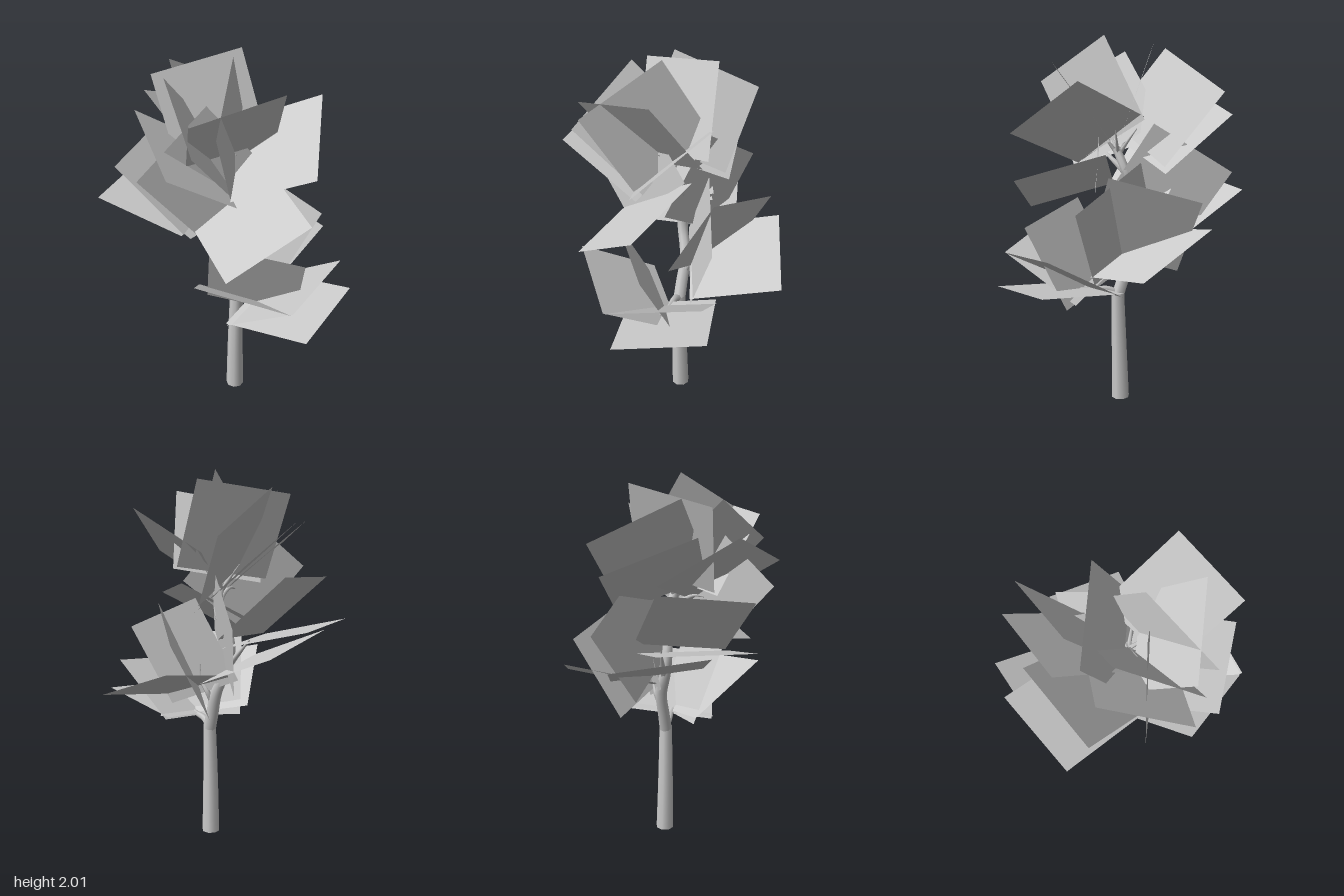
import * as THREE from 'three';

const LEAF = 0.487;
const bark = new THREE.MeshStandardMaterial({ color: 0xcccccc });
const foliage = new THREE.MeshStandardMaterial({ color: 0xcccccc, side: THREE.DoubleSide });
const v = (p) => new THREE.Vector3(...p);

// Round limb along a curve, narrowing from r0 to r1
function limb(name, points, r0, r1, sides = 8) {
  const steps = points.length * 4;
  const curve = new THREE.CatmullRomCurve3(points.map(v));
  const geo = new THREE.TubeGeometry(curve, steps, 1, sides);
  const pos = geo.attributes.position, p = new THREE.Vector3();
  for (let i = 0; i < pos.count; i++) {
    const t = Math.floor(i / (sides + 1)) / steps;
    const centre = curve.getPointAt(t);
    p.fromBufferAttribute(pos, i).sub(centre).multiplyScalar(r0 + (r1 - r0) * t).add(centre);
    pos.setXYZ(i, p.x, p.y, p.z);
  }
  geo.computeBoundingSphere();
  const mesh = new THREE.Mesh(geo, bark);
  mesh.name = name;
  return mesh;
}

// Square leaf card: outer edge runs from a to b, the card reaches in towards the twig
function leaf(a, b, twig) {
  const A = v(a), B = v(b);
  const mid = A.clone().add(B).multiplyScalar(0.5);
  const side = B.sub(A).normalize();
  const out = mid.clone().sub(v(twig));
  out.addScaledVector(side, -out.dot(side)).normalize();
  const normal = new THREE.Vector3().crossVectors(side, out);
  const mesh = new THREE.Mesh(new THREE.PlaneGeometry(LEAF, LEAF), foliage);
  mesh.name = 'leaf';
  mesh.quaternion.setFromRotationMatrix(new THREE.Matrix4().makeBasis(side, out, normal));
  mesh.position.copy(mid).addScaledVector(out, -LEAF / 2);
  return mesh;
}

// Leaves grouped by the branch that carries them: [outer corner, outer corner, twig]
const sprays = {
  frontLeaves: [
    [[0.38, 0.77, 0.51], [-0.09, 0.70, 0.67], [-0.01, 0.665, 0.12]],
    [[0.335, 0.94, 0.47], [-0.14, 0.87, 0.62], [0.04, 0.66, 0.13]],
    [[-0.466, 0.98, 0.27], [-0.15, 0.87, 0.61], [0, 0.66, 0.15]],
    [[-0.30, 1.11, 0.17], [0.02, 1.04, 0.53], [-0.03, 0.68, 0.18]],
  ],
  leftLeaves: [
    [[0.595, 0.88, 0.07], [0.42, 1.07, -0.35], [0.045, 0.875, 0]],
    [[0.24, 1.32, 0.13], [0.38, 1.20, -0.30], [0.07, 0.84, -0.03]],
    [[0.315, 1.16, 0.33], [0.12, 1.37, -0.07], [0.03, 0.85, -0.03]],
  ],
  backLeaves: [
    [[-0.596, 1.25, -0.396], [-0.17, 1.27, -0.646], [-0.12, 1.12, -0.12]],
    [[0.046, 1.175, -0.675], [-0.39, 1.23, -0.49], [0, 1.0, -0.19]],
    [[-0.56, 1.455, -0.27], [-0.12, 1.52, -0.52], [-0.17, 1.15, -0.1]],
    [[0.18, 1.30, -0.55], [0.04, 0.90, -0.33], [0, 1.2, -0.1]],
  ],
  crownLeaves: [
    [[0.01, 1.29, 0.577], [-0.396, 1.05, 0.42], [-0.09, 1.30, 0.04]],
    [[0.01, 1.53, 0.59], [0.30, 1.81, 0.30], [-0.04, 1.47, 0.04]],
    [[0.017, 1.885, 0.37], [-0.46, 1.79, 0.23], [-0.07, 1.48, 0.06]],
    [[-0.08, 2.0, 0.08], [-0.375, 1.76, 0.34], [-0.08, 1.43, 0.1]],
    [[-0.566, 1.455, -0.01], [-0.30, 1.13, 0.07], [-0.09, 1.53, 0.1]],
  ],
  crownBackLeaves: [
    [[0.14, 1.97, -0.125], [-0.325, 1.89, -0.257], [-0.07, 1.49, -0.02]],
    [[-0.57, 1.56, 0.22], [-0.45, 1.75, -0.22], [-0.12, 1.40, 0]],
    [[-0.34, 1.91, -0.12], [-0.47, 1.66, 0.28], [-0.1, 1.40, 0.04]],
    [[0.22, 1.73, -0.48], [-0.185, 1.93, -0.30], [-0.03, 1.45, -0.1]],
    [[0.125, 1.60, -0.57], [-0.29, 1.77, -0.38], [-0.08, 1.42, -0.05]],
  ],
};

export function createModel() {
  const tree = new THREE.Group();
  tree.name = 'tree';

  // Trunk with a closed foot
  tree.add(limb('trunk', [[-0.01, 0, 0.005], [-0.012, 0.32, 0.012], [-0.01, 0.64, 0.02]], 0.05, 0.036));
  const foot = new THREE.Mesh(new THREE.CircleGeometry(0.05, 8), bark);
  foot.name = 'trunkFoot';
  foot.rotation.x = Math.PI / 2;
  foot.position.set(-0.01, 0, 0.005);
  tree.add(foot);

  // Main stem leaning back, then returning up into the crown
  tree.add(limb('stem', [[-0.01, 0.61, 0.02], [-0.01, 0.70, -0.01], [-0.01, 0.85, -0.06],
    [-0.05, 1.0, -0.11], [-0.06, 1.13, -0.11], [-0.03, 1.28, -0.04], [-0.07, 1.42, 0.01]], 0.036, 0.022));

  // Side branches
  tree.add(limb('frontBranch', [[-0.01, 0.62, 0.02], [-0.01, 0.65, 0.08], [0, 0.66, 0.16], [0.01, 0.69, 0.30]], 0.024, 0.005, 6));
  tree.add(limb('leftBranch', [[-0.01, 0.76, -0.03], [0.03, 0.84, -0.03], [0.05, 0.90, 0], [0.07, 1.0, -0.02]], 0.02, 0.003, 6));
  tree.add(limb('backBranch', [[-0.04, 0.97, -0.1], [-0.06, 1.08, -0.2], [-0.08, 1.17, -0.28]], 0.022, 0.004, 6));
  tree.add(limb('rightBranch', [[-0.03, 1.28, -0.04], [-0.09, 1.35, 0.02], [-0.15, 1.38, 0.05], [-0.2, 1.37, 0.08]], 0.022, 0.004, 6));

  // Short twigs fanning out of the crown
  for (let i = 0; i < 5; i++) {
    const a = (i / 5) * Math.PI * 2 + 0.4, c = Math.cos(a), s = Math.sin(a);
    tree.add(limb('crownTwig', [[-0.07, 1.38, 0], [-0.07 + c * 0.05, 1.45, s * 0.05],
      [-0.07 + c * 0.11, 1.53, s * 0.11]], 0.014, 0.002, 5));
  }

  for (const [name, leaves] of Object.entries(sprays)) {
    const spray = new THREE.Group();
    spray.name = name;
    leaves.forEach((l) => spray.add(leaf(...l)));
    tree.add(spray);
  }
  return tree;
}
